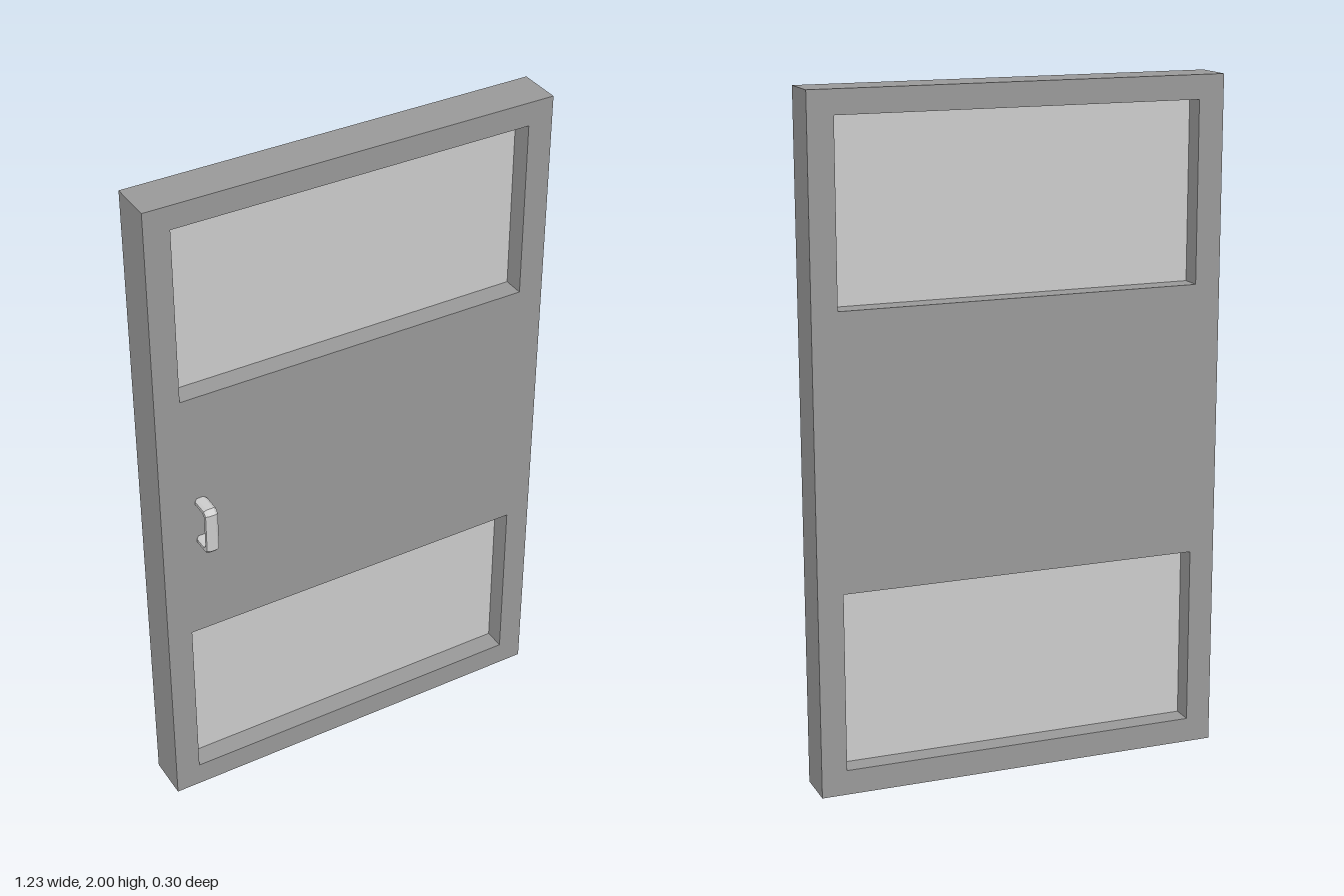
import * as THREE from 'three';

const W = 1.22, H = 2, D = 0.13;      // door slab
const PANEL_W = 1.07, PANEL_H = 0.527; // recessed panels
const PANEL_Y = [0.337, 1.667];        // panel centre heights

const slabMaterial = new THREE.MeshStandardMaterial({ color: 0x999999, flatShading: true });
const lightMaterial = new THREE.MeshStandardMaterial({ color: 0xcccccc, flatShading: true });

function polygon(points, Type = THREE.Shape) {
  return new Type(points.map(([x, y]) => new THREE.Vector2(x, y)));
}

function rectangle(w, h, cy, Type) {
  const x = w / 2, y = h / 2;
  return polygon([[-x, cy - y], [x, cy - y], [x, cy + y], [-x, cy + y]], Type);
}

function addMesh(parent, name, geometry, material) {
  const mesh = new THREE.Mesh(geometry, material);
  mesh.name = name;
  parent.add(mesh);
  return mesh;
}

export function createModel() {
  const model = new THREE.Group();
  model.name = 'door';

  // The whole door stands slightly ajar
  const leaf = new THREE.Group();
  leaf.name = 'doorLeaf';
  leaf.rotation.y = -0.1416;
  model.add(leaf);

  // Slab with two rectangular openings
  const outline = rectangle(W, H, H / 2);
  outline.holes = PANEL_Y.map((y) => rectangle(PANEL_W, PANEL_H, y, THREE.Path));
  const slab = new THREE.ExtrudeGeometry(outline, { depth: D, bevelEnabled: false });
  slab.translate(0, 0, -D / 2);
  addMesh(leaf, 'slab', slab, slabMaterial);

  // Thin panels set halfway into the openings
  PANEL_Y.forEach((y, i) => {
    const panel = new THREE.BoxGeometry(PANEL_W, PANEL_H, 0.004);
    addMesh(leaf, i ? 'upperPanel' : 'lowerPanel', panel, lightMaterial).position.y = y;
  });

  // Pull handle: C-shaped side profile with cut corners (x = distance from door, y = height)
  const half = [[0, 0.075], [0.058, 0.075], [0.072, 0.061]];
  const inner = [[0, 0.055], [0.046, 0.055], [0.052, 0.049]];
  const flip = (points) => points.map(([x, y]) => [x, -y]).reverse();
  const profile = polygon([...half, ...flip(half), ...inner.map(([x, y]) => [x, -y]), ...[...inner].reverse()]);
  const handle = new THREE.ExtrudeGeometry(profile, {
    depth: 0.021, bevelThickness: 0.008, bevelSize: 0.005, bevelOffset: -0.005, bevelSegments: 1,
  });
  handle.translate(0, 0, -0.0105);
  handle.rotateY(-Math.PI / 2);
  addMesh(leaf, 'handle', handle, lightMaterial).position.set(-0.489, 0.995, D / 2);

  return model;
}
